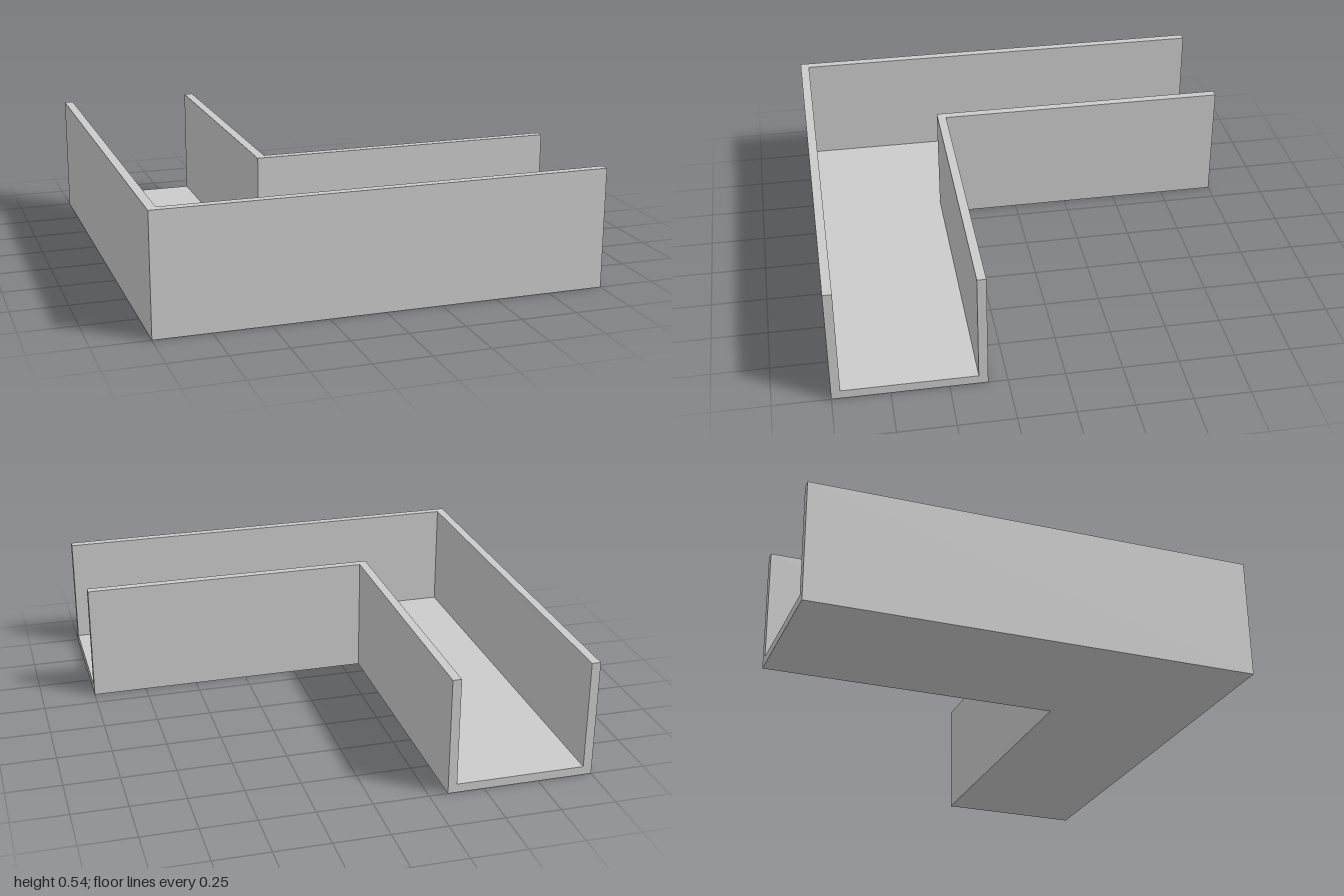
import * as THREE from 'three';

const WIDTH = 0.665, HEIGHT = 0.54, WALL = 0.04;

// U-shaped cross-section: x is the distance from the outer side, y is up
const profile = [
  [0, 0], [WIDTH, 0], [WIDTH, HEIGHT], [WIDTH - WALL, HEIGHT],
  [WIDTH - WALL, WALL], [WALL, WALL], [WALL, HEIGHT], [0, HEIGHT],
].map(([u, y]) => new THREE.Vector2(u, y));

// Back end, mitred corner and side end of the channel
const stations = [
  (p) => [-1 + p.x, p.y, -1],
  (p) => [-1 + p.x, p.y, 1 - p.x],
  (p) => [1, p.y, 1 - p.x],
];

function createChannelGeometry() {
  const rings = stations.map((place) => profile.map(place));
  const positions = [];
  const triangle = (a, b, c) => positions.push(...a, ...b, ...c);

  // Long faces of both legs
  for (let s = 0; s < rings.length - 1; s++) {
    const from = rings[s], to = rings[s + 1];
    for (let i = 0; i < profile.length; i++) {
      const j = (i + 1) % profile.length;
      triangle(from[i], from[j], to[j]);
      triangle(from[i], to[j], to[i]);
    }
  }

  // U-shaped end faces
  const first = rings[0], last = rings[rings.length - 1];
  for (const [a, b, c] of THREE.ShapeUtils.triangulateShape(profile, [])) {
    triangle(first[c], first[b], first[a]);
    triangle(last[a], last[b], last[c]);
  }

  const geometry = new THREE.BufferGeometry();
  geometry.setAttribute('position', new THREE.Float32BufferAttribute(positions, 3));
  geometry.computeVertexNormals();
  return geometry;
}

export function createModel() {
  const group = new THREE.Group();
  group.name = 'cornerChannel';
  const material = new THREE.MeshStandardMaterial({ color: 0xcccccc });
  const channel = new THREE.Mesh(createChannelGeometry(), material);
  channel.name = 'channel';
  group.add(channel);
  return group;
}
